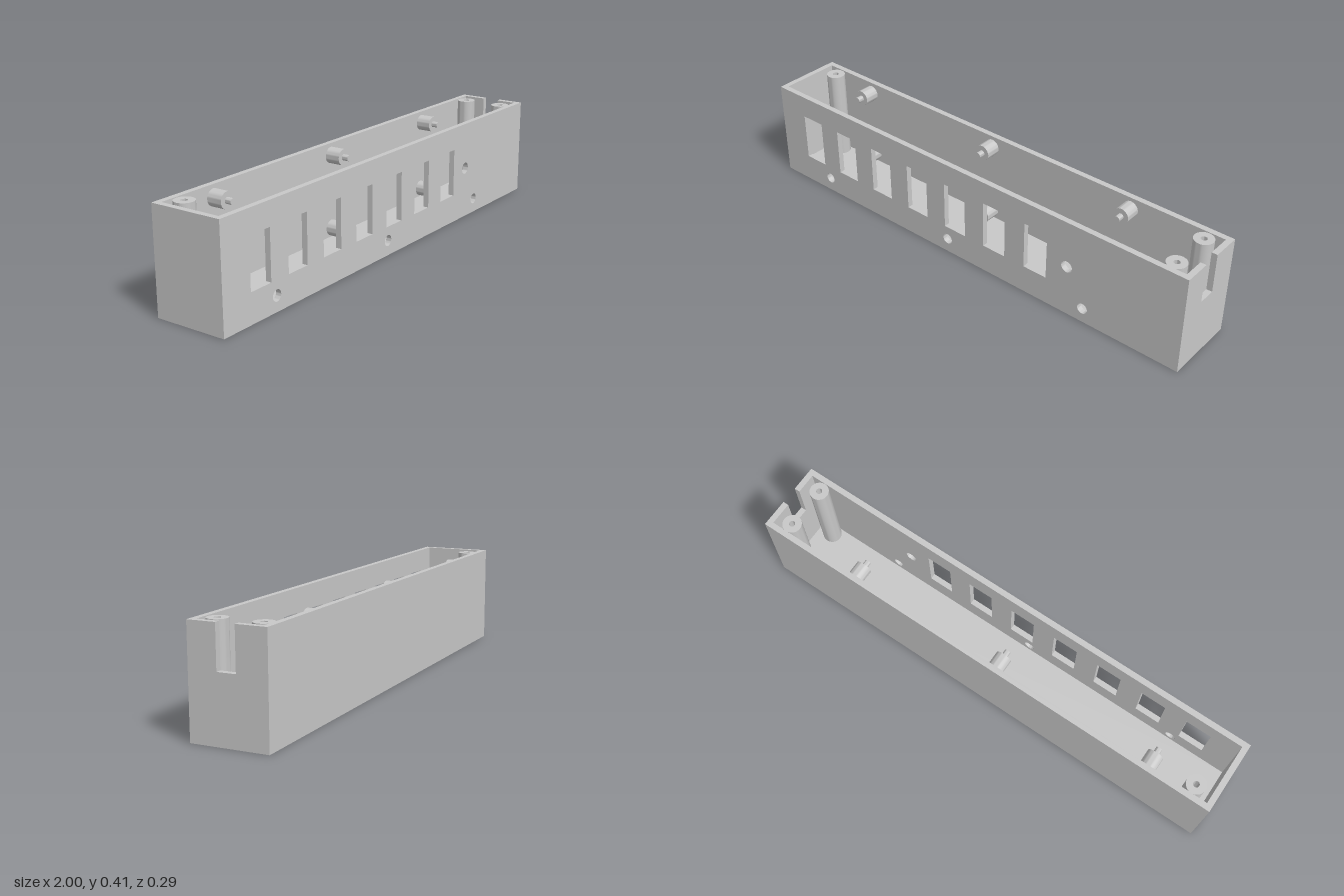
import * as THREE from 'three';
import { toCreasedNormals } from 'three/addons/utils/BufferGeometryUtils.js';

const H = 0.405, X = 1, Z = 0.147;            // outer height and half sizes
const WALL = 0.023, FLOOR = 0.022;

export function createModel() {
  const group = new THREE.Group();
  const lightGrey = new THREE.MeshStandardMaterial({ color: 0xc8c8c8 });
  lightGrey.name = 'lightGrey';

  const add = (name, geometry, x = 0, y = 0, z = 0) => {
    const mesh = new THREE.Mesh(toCreasedNormals(geometry, 0.6), lightGrey);
    mesh.name = name;
    mesh.position.set(x, y, z);
    group.add(mesh);
    return mesh;
  };
  const polygon = (points) => points.map(([a, b]) => new THREE.Vector2(a, b));
  const extrude = (shape) =>
    new THREE.ExtrudeGeometry(shape, { depth: WALL, bevelEnabled: false, curveSegments: 24 });

  // Front wall with seven windows and round holes
  const front = new THREE.Shape(polygon([[-X, 0], [X, 0], [X, H], [-X, H]]));
  for (let i = 0; i < 7; i++) {
    const cx = -0.812 + i * 0.1968, w = 0.052;
    front.holes.push(new THREE.Path(polygon([
      [cx - w, 0.116], [cx - w, 0.312], [cx + w, 0.312], [cx + w, 0.116]])));
  }
  const pegXs = [-0.732, -0.064, 0.59];
  const roundHole = (x, y, r) =>
    front.holes.push(new THREE.Path().absarc(x, y, r, 0, Math.PI * 2, true));
  roundHole(0.512, 0.213, 0.024);
  pegXs.forEach((x) => roundHole(x, 0.06, 0.022));
  add('frontWall', extrude(front), 0, 0, Z - WALL);

  // Back wall, floor and plain end wall
  const innerDepth = 2 * (Z - WALL);
  add('backWall', new THREE.BoxGeometry(2 * X, H, WALL), 0, H / 2, -Z + WALL / 2);
  add('floor', new THREE.BoxGeometry(2 * (X - WALL), FLOOR, innerDepth), 0, FLOOR / 2, 0);
  add('rightEndWall', new THREE.BoxGeometry(WALL, H, innerDepth), -X + WALL / 2, H / 2, 0);

  // Notched end wall: shape across is -z, turned to face +x
  const b = Z - WALL;
  const notched = new THREE.Shape(polygon([
    [-b, 0], [b, 0], [b, H], [0.031, H], [0.031, 0.246], [-0.04, 0.246], [-0.04, H], [-b, H]]));
  add('leftEndWall', extrude(notched), X - WALL, 0, 0).rotation.y = Math.PI / 2;

  // Corner screw posts with blind holes
  const postProfile = polygon([
    [0.038, FLOOR], [0.038, 0.402], [0.012, 0.402], [0.012, 0.25], [0, 0.25]]);
  for (const [x, z] of [[-0.911, -0.086], [0.915, -0.086], [0.915, 0.086]]) {
    add('screwPost', new THREE.LatheGeometry(postProfile, 32), x, 0, z);
  }

  // Stepped pegs on the back wall, in an upper and a lower row
  const pegProfile = polygon([
    [0.032, 0], [0.032, 0.062], [0.012, 0.062], [0.012, 0.088], [0, 0.088]]);
  for (const x of pegXs) {
    for (const y of [0.06, 0.358]) {
      add('peg', new THREE.LatheGeometry(pegProfile, 32), x, y, -Z + WALL).rotation.x = Math.PI / 2;
    }
  }
  return group;
}
